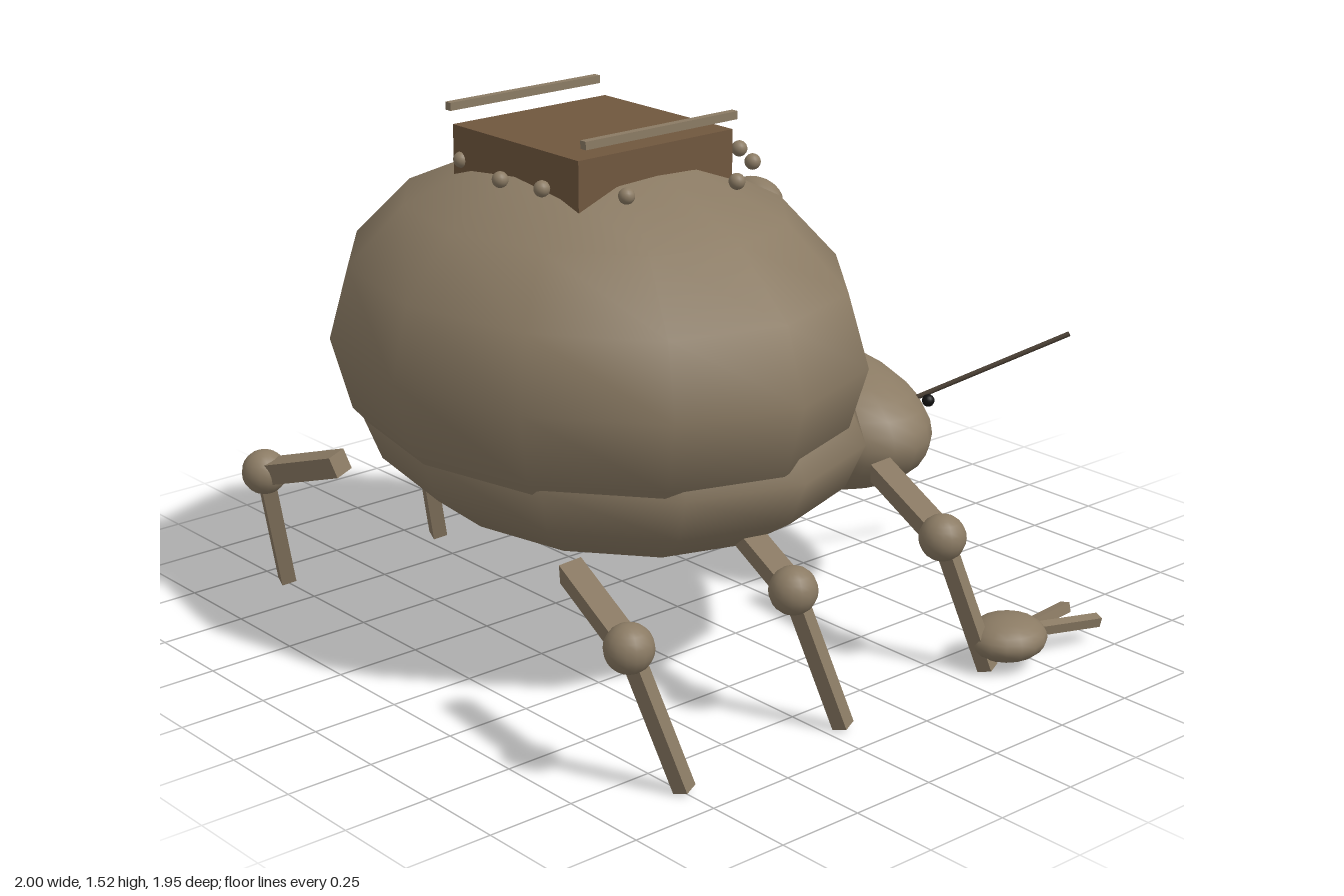
import * as THREE from 'three';

const mat = (color) => new THREE.MeshStandardMaterial({ color });
const bodyMat = mat(0x8b7b64);
const hatchMat = mat(0x70573e);
const feelerMat = mat(0x4a3f33);
const eyeMat = mat(0x111111);
const UP = new THREE.Vector3(0, 1, 0);

// Ellipsoid with centre c and radii r
function ball(name, c, r, material = bodyMat, w = 16, h = 12) {
  const mesh = new THREE.Mesh(new THREE.SphereGeometry(1, w, h), material);
  mesh.name = name;
  mesh.position.set(...c);
  mesh.scale.set(...r);
  return mesh;
}

// Square or round bar running from a to b
function bar(name, a, b, t, material = bodyMat, round = false) {
  const from = new THREE.Vector3(...a);
  const dir = new THREE.Vector3(...b).sub(from);
  const len = dir.length();
  const geometry = round
    ? new THREE.CylinderGeometry(t / 2, t / 2, len, 8)
    : new THREE.BoxGeometry(t, len, t);
  const mesh = new THREE.Mesh(geometry, material);
  mesh.name = name;
  mesh.position.copy(from).addScaledVector(dir, 0.5);
  mesh.quaternion.setFromUnitVectors(UP, dir.normalize());
  return mesh;
}

function box(name, c, size, material) {
  const mesh = new THREE.Mesh(new THREE.BoxGeometry(...size), material);
  mesh.name = name;
  mesh.position.set(...c);
  return mesh;
}

// Jointed leg on side s with its knee at depth z
function leg(s, z) {
  const g = new THREE.Group();
  g.name = 'leg';
  const knee = [s * 0.81, 0.4, z];
  g.add(
    bar('upperLeg', [s * 0.51, 0.495, z - 0.06], knee, 0.062),
    ball('knee', knee, [0.065, 0.065, 0.065]),
    bar('lowerLeg', knee, [s * 0.89, 0.012, z - 0.11], 0.043),
  );
  return g;
}

// Claw with two splayed pincers
function claw(s) {
  const g = new THREE.Group();
  g.name = 'claw';
  g.add(ball('palm', [s * 0.893, 0.086, -0.42], [0.107, 0.062, 0.116]));
  for (const d of [-1, 1]) {
    g.add(bar('pincer', [s * 0.893 + d * 0.01, 0.085, -0.5], [s * 0.893 + d * 0.06, 0.066, -0.73], 0.029));
  }
  return g;
}

export function createModel() {
  const model = new THREE.Group();
  model.name = 'beetle';

  // Body: faceted shell over a shallower belly
  model.add(
    ball('shell', [0, 0.9, 0.3], [0.833, 0.52, 0.67], bodyMat, 12, 8),
    ball('belly', [0, 0.67, 0.25], [0.79, 0.335, 0.635], bodyMat, 12, 8),
    ball('head', [0, 0.5, -0.482], [0.47, 0.21, 0.26], bodyMat, 24, 16),
    ball('shellBump', [0.1, 1.205, -0.195], [0.095, 0.062, 0.065]),
  );

  // Hatch block on top
  model.add(box('hatch', [0, 1.385, 0.3], [0.53, 0.17, 0.525], hatchMat));

  // Mirrored parts
  for (const s of [-1, 1]) {
    model.add(
      box('rail', [s * 0.285, 1.515, 0.305], [0.022, 0.022, 0.515], bodyMat),
      ball('eye', [s * 0.38, 0.59, -0.62], [0.018, 0.018, 0.018], eyeMat),
      bar('antenna', [s * 0.33, 0.585, -0.615], [s * 0.593, 0.768, -0.972], 0.015, feelerMat, true),
      claw(s),
    );
    for (const z of [-0.24, 0.31, 0.86]) model.add(leg(s, z));
  }

  // Ring of studs around the hatch, as x and z
  const studs = [
    [-0.077, -0.104], [0.16, -0.083], [0.29, -0.013], [0.417, 0.158], [0.342, 0.468],
    [0.144, 0.586], [0, 0.61], [-0.235, 0.56], [-0.433, 0.28], [-0.385, 0.083],
  ];
  for (const [x, z] of studs) model.add(ball('stud', [x, 1.378, z], [0.022, 0.022, 0.022]));

  return model;
}
